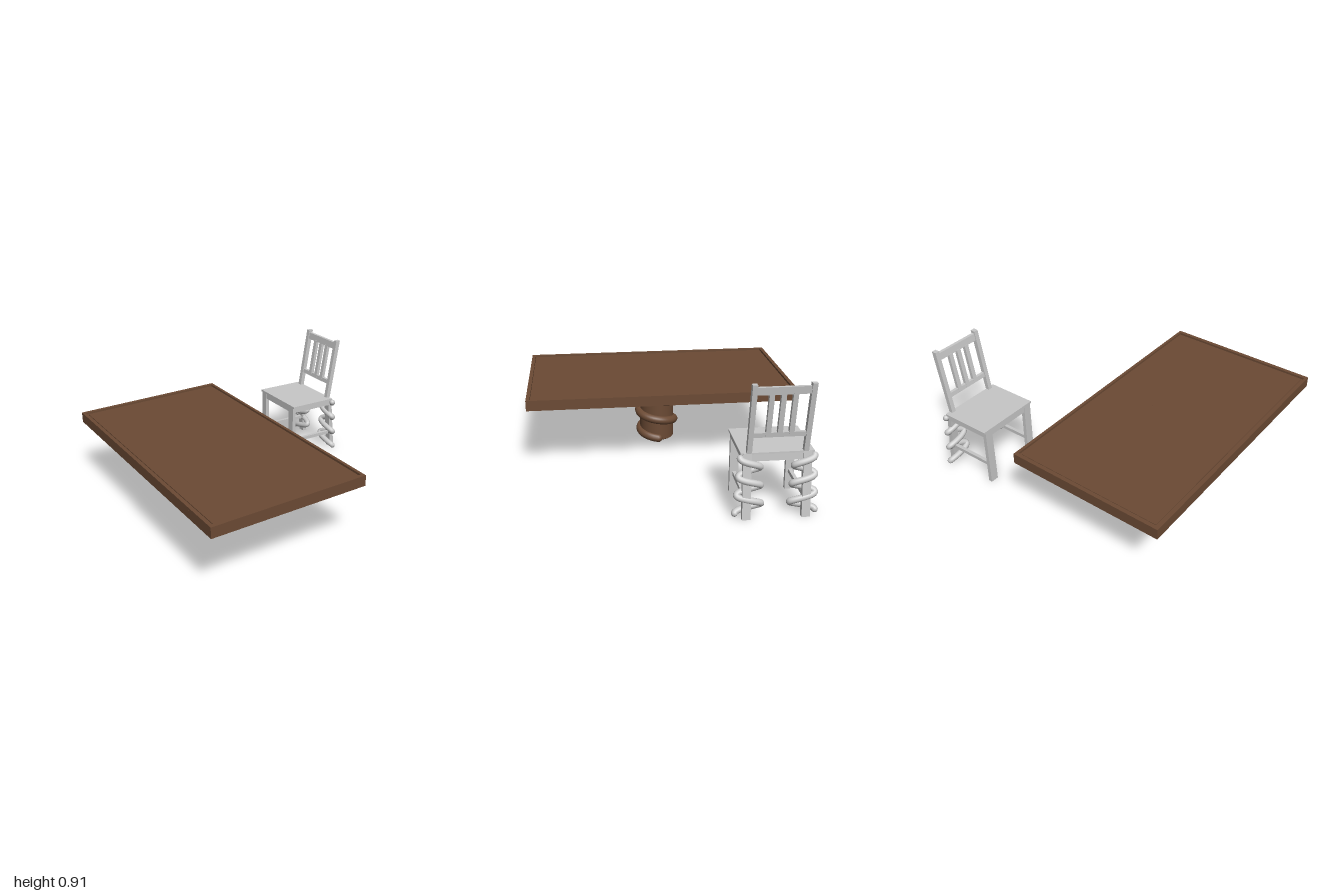
import * as THREE from 'three';

const wood = new THREE.MeshStandardMaterial({ color: 0x6b4a34 });
wood.name = 'brown wood';
const grey = new THREE.MeshStandardMaterial({ color: 0xc8c8c8 });
grey.name = 'light grey';

function add(parent, name, geometry, material, x = 0, y = 0, z = 0) {
  const mesh = new THREE.Mesh(geometry, material);
  mesh.name = name;
  mesh.position.set(x, y, z);
  parent.add(mesh);
  return mesh;
}

// Side outline in x/y, given thickness from z0 to z1
function slab(parent, name, outline, z0, z1, material = grey) {
  const shape = new THREE.Shape(outline.map(([x, y]) => new THREE.Vector2(x, y)));
  const geometry = new THREE.ExtrudeGeometry(shape, { depth: z1 - z0, bevelEnabled: false });
  return add(parent, name, geometry, material, 0, 0, z0);
}

// Upright piece whose lower edge starts at x0 and upper edge at x1
function upright(parent, name, x0, w0, y0, x1, w1, y1, za, zb) {
  return slab(parent, name, [[x0, y0], [x0 + w0, y0], [x1 + w1, y1], [x1, y1]], za, zb);
}

// Tube winding along a rule, closed with rounded ends
function coil(parent, name, rule, radius, segments, material) {
  const points = [];
  for (let i = 0; i <= 72; i++) points.push(rule(i / 72));
  const curve = new THREE.CatmullRomCurve3(points);
  add(parent, name, new THREE.TubeGeometry(curve, segments, radius, 14), material);
  for (const p of [points[0], points[72]]) {
    add(parent, name + 'End', new THREE.SphereGeometry(radius, 14, 10), material, p.x, p.y, p.z);
  }
}

function rectangle(target, w, h) {
  target.moveTo(-w, -h);
  target.lineTo(w, -h);
  target.lineTo(w, h);
  target.lineTo(-w, h);
  target.closePath();
  return target;
}

function buildTable() {
  const table = new THREE.Group();
  table.name = 'table';
  table.position.x = -0.44;

  // Top: slab, raised rim and inset panel separated by a shallow groove
  add(table, 'tableTop', new THREE.BoxGeometry(1.12, 0.06, 1.94), wood, 0, 0.51, 0);
  const rimShape = rectangle(new THREE.Shape(), 0.56, 0.97);
  rimShape.holes.push(rectangle(new THREE.Path(), 0.54, 0.943));
  const rim = new THREE.ExtrudeGeometry(rimShape, { depth: 0.015, bevelEnabled: false });
  rim.rotateX(-Math.PI / 2);
  add(table, 'tableRim', rim, wood, 0, 0.54, 0);
  add(table, 'tablePanel', new THREE.BoxGeometry(1.045, 0.006, 1.865), wood, 0, 0.543, 0);

  // Pedestal with a softened foot and a neck
  const profile = [[0, 0.03], [0.12, 0.03], [0.13, 0.037], [0.13, 0.455], [0.122, 0.46], [0.122, 0.49]];
  const column = new THREE.CylinderGeometry(0.13, 0.13, 0.418, 40, 1, true);
  add(table, 'pedestal', column, wood, 0, 0.246, 0);
  const points = profile.map(([r, y]) => new THREE.Vector2(r, y));
  add(table, 'pedestalFoot', new THREE.LatheGeometry(points.slice(0, 2), 40), wood);
  add(table, 'pedestalEdge', new THREE.LatheGeometry(points.slice(1, 3), 40), wood);
  add(table, 'pedestalNeck', new THREE.LatheGeometry(points.slice(3), 40), wood);
  // The coil grows a little wider towards the top
  coil(table, 'pedestalCoil', (t) => {
    const a = t * Math.PI * 6;
    const r = 0.153 - 0.027 * t;
    return new THREE.Vector3(r * Math.cos(a), 0.515 - 0.465 * t, -r * Math.sin(a));
  }, 0.032, 150, wood);
  return table;
}

function buildChair() {
  const chair = new THREE.Group();
  chair.name = 'chair';
  chair.position.z = -0.61;

  // Seat board and the apron below it
  slab(chair, 'seat', [[0.525, 0.437], [0.91, 0.427], [0.91, 0.442], [0.525, 0.452]], -0.235, 0.235);
  slab(chair, 'frontApron', [[0.53, 0.392], [0.55, 0.392], [0.55, 0.437], [0.53, 0.437]], -0.2, 0.2);
  slab(chair, 'backApron', [[0.892, 0.385], [0.912, 0.385], [0.91, 0.43], [0.89, 0.43]], -0.2, 0.2);

  for (const s of [-1, 1]) {
    const span = (a, b) => (s > 0 ? [a, b] : [-b, -a]);
    const side = s > 0 ? 'right' : 'left';
    upright(chair, side + 'FrontLeg', 0.525, 0.028, 0, 0.525, 0.028, 0.44, ...span(0.163, 0.223));
    upright(chair, side + 'BackLeg', 0.92, 0.035, 0, 0.882, 0.033, 0.44, ...span(0.165, 0.22));
    upright(chair, side + 'BackPost', 0.882, 0.033, 0.44, 0.962, 0.036, 0.912, ...span(0.165, 0.197));
    slab(chair, side + 'Apron', [[0.53, 0.395], [0.9, 0.385], [0.9, 0.43], [0.53, 0.44]], ...span(0.2, 0.222));
    slab(chair, side + 'Stretcher', [[0.54, 0.125], [0.93, 0.115], [0.93, 0.14], [0.54, 0.152]], ...span(0.18, 0.204));

    // Flattened coil winding around the back leg
    coil(chair, side + 'LegCoil', (t) => {
      const a = t * Math.PI * 6;
      const r = 0.062 + 0.024 * t;
      return new THREE.Vector3(0.911 + 0.018 * Math.sin(a), 0.41 - 0.38 * t, s * (0.175 + r * Math.cos(a)));
    }, 0.022, 180, grey);
  }

  // Leaning back: rails and slats follow the slope of the posts
  const lean = (y) => 0.885 + (y - 0.44) * 0.17;
  const backPiece = (name, y0, y1, inset, z0, z1) => {
    const w = 0.03 - 2 * inset;
    upright(chair, name, lean(y0) + inset, w, y0, lean(y1) + inset, w, y1, z0, z1);
  };
  backPiece('topRail', 0.842, 0.893, 0.004, -0.17, 0.17);
  backPiece('lowerRail', 0.55, 0.582, 0.004, -0.17, 0.17);
  for (const z of [-0.073, 0, 0.073]) backPiece('backSlat', 0.555, 0.85, 0.002, z - 0.016, z + 0.016);
  return chair;
}

export function createModel() {
  const model = new THREE.Group();
  model.name = 'tableAndChair';
  model.add(buildTable(), buildChair());
  return model;
}
